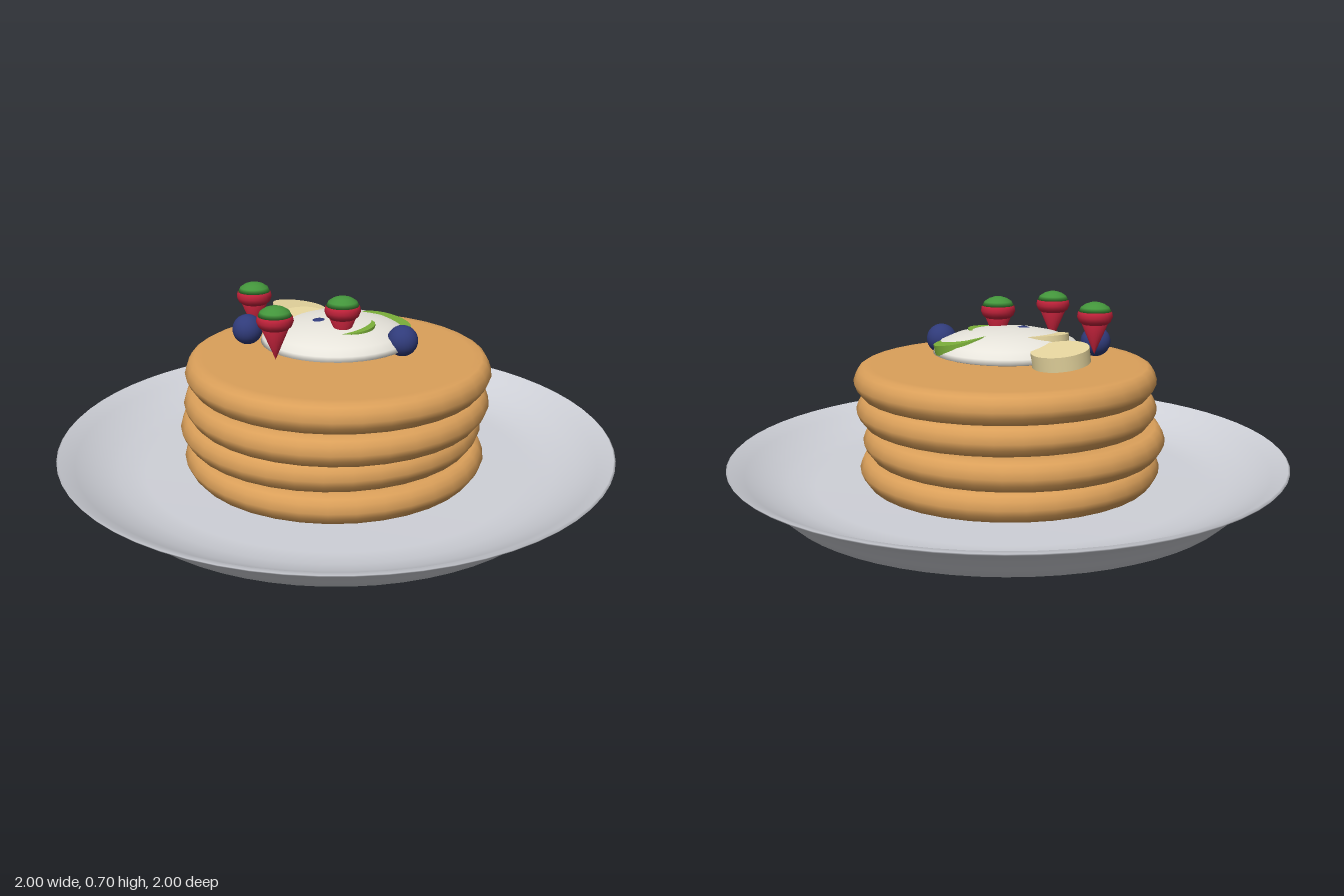
import * as THREE from 'three';

const mat = (name, color) => {
  const m = new THREE.MeshStandardMaterial({ color });
  m.name = name;
  return m;
};

export function createModel() {
  const group = new THREE.Group();
  const plateGrey = mat('plate grey', 0xcfd1d8);
  const pancakeBrown = mat('pancake brown', 0xdba05a);
  const creamWhite = mat('cream white', 0xf0ede4);
  const bananaYellow = mat('banana yellow', 0xeedda4);
  const berryBlue = mat('blueberry blue', 0x303b7a);
  const berryRed = mat('strawberry red', 0xc0223a);
  const leafGreen = mat('leaf green', 0x43953b);
  const kiwiGreen = mat('kiwi green', 0x7cb03a);

  const lathe = (pts, segments) =>
    new THREE.LatheGeometry(pts.map(([r, y]) => new THREE.Vector2(r, y)), segments);
  const add = (name, geometry, material, pos = [0, 0, 0], rot = [0, 0, 0], parent = group) => {
    const mesh = new THREE.Mesh(geometry, material);
    mesh.name = name;
    mesh.position.set(...pos);
    mesh.rotation.set(...rot);
    parent.add(mesh);
    return mesh;
  };

  // Dished plate with a thin rim
  add('plate', lathe([
    [0, 0], [0.8, 0], [0.82, 0.002], [0.86, 0.04], [0.9, 0.085], [0.95, 0.115], [0.995, 0.14],
    [1, 0.147], [0.993, 0.153], [0.94, 0.12], [0.87, 0.085], [0.79, 0.06], [0.7, 0.05], [0, 0.048],
  ], 64), plateGrey);

  // Stack of four slightly shifted pancakes
  const pancake = lathe([
    [0, 0], [0.49, 0], [0.517, 0.004], [0.535, 0.028], [0.545, 0.052],
    [0.536, 0.078], [0.526, 0.096], [0.51, 0.105], [0.48, 0.106], [0, 0.106],
  ], 36);
  [[-0.01, 0], [-0.007, -0.021], [-0.021, 0.021], [-0.007, 0.017]].forEach(([x, z], i) =>
    add(`pancake${i + 1}`, pancake, pancakeBrown, [x, 0.05 + i * 0.106, z]));

  // Flattened cream dollop
  add('cream', lathe([
    [0, 0.512], [0.25, 0.512], [0.268, 0.518], [0.262, 0.535], [0.24, 0.557],
    [0.19, 0.577], [0.13, 0.591], [0.07, 0.598], [0, 0.6],
  ], 40), creamWhite);

  // Blueberries
  const blueberry = new THREE.SphereGeometry(0.054, 24, 16);
  [[0.065, 0.25], [-0.2, -0.245], [-0.062, -0.022]].forEach(([x, z], i) =>
    add(`blueberry${i + 1}`, blueberry, berryBlue, [x, 0.548, z]));

  // Strawberries: pointed body, bulging shoulder and green cap
  const body = lathe([[0, 0], [0.046, 0.108], [0, 0.109]], 24);
  const shoulder = lathe([
    [0, 0.105], [0.04, 0.105], [0.056, 0.117], [0.063, 0.134], [0.06, 0.15], [0.05, 0.16], [0, 0.163],
  ], 24);
  const cap = lathe([[0, 0.153], [0.057, 0.153], [0.05, 0.168], [0.033, 0.179], [0.015, 0.185], [0, 0.186]], 24);
  [[-0.302, 0], [-0.13, -0.28], [-0.06, 0.085]].forEach(([x, z], i) => {
    const berry = new THREE.Group();
    berry.name = `strawberry${i + 1}`;
    berry.position.set(x, 0.515, z);
    add('body', body, berryRed, undefined, undefined, berry);
    add('shoulder', shoulder, berryRed, undefined, undefined, berry);
    add('leafCap', cap, leafGreen, undefined, undefined, berry);
    group.add(berry);
  });

  // Banana and kiwi slices, partly sunk in the cream
  const banana = new THREE.CylinderGeometry(0.1, 0.1, 0.05, 28);
  add('bananaSlice1', banana, bananaYellow, [0.095, 0.543, -0.278], [0.04, 0, -0.14]);
  add('bananaSlice2', banana, bananaYellow, [-0.035, 0.558, -0.117], [0.1, 0, 0.05]);
  const kiwi = new THREE.CylinderGeometry(0.1, 0.1, 0.035, 28);
  add('kiwiSlice1', kiwi, kiwiGreen, [0.142, 0.555, 0.098], [0.17, 0, -0.1]);
  add('kiwiSlice2', kiwi, kiwiGreen, [-0.02, 0.567, 0.07], [-0.06, 0, 0.05]);

  return group;
}
